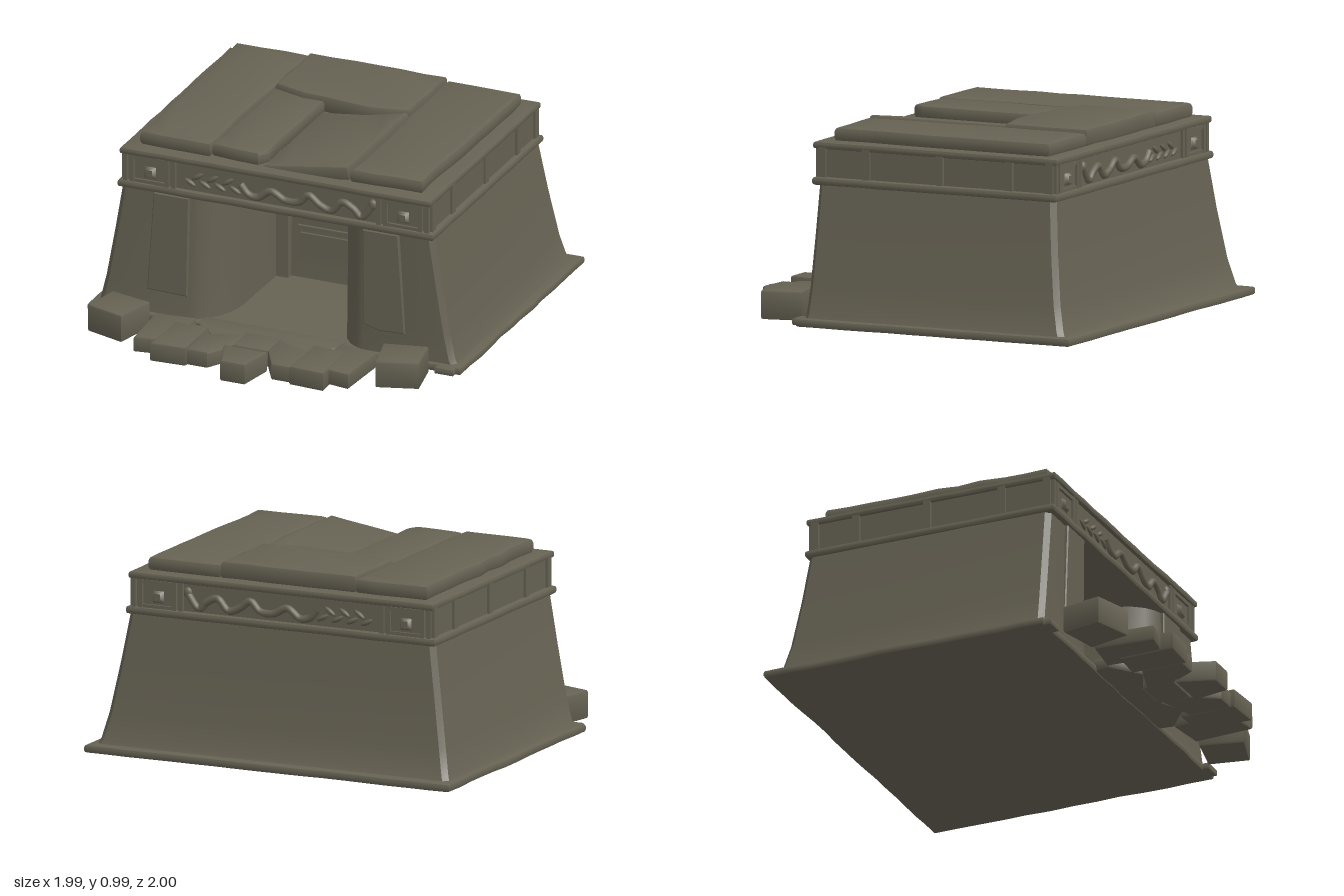
import * as THREE from 'three';
import { toCreasedNormals } from 'three/addons/utils/BufferGeometryUtils.js';

const stone = new THREE.MeshStandardMaterial({ color: 0x666253 });
stone.name = 'weathered stone';

let seed = 7;
const rand = () => (seed = (seed * 16807) % 2147483647) / 2147483647 - 0.5;

function add(parent, name, geo, x = 0, y = 0, z = 0) {
  const m = new THREE.Mesh(geo, stone);
  m.name = name;
  m.position.set(x, y, z);
  parent.add(m);
  return m;
}

// box given by its limits
function box(parent, name, x0, x1, y0, y1, z0, z1) {
  return add(parent, name, new THREE.BoxGeometry(x1 - x0, y1 - y0, z1 - z0),
    (x0 + x1) / 2, (y0 + y1) / 2, (z0 + z1) / 2);
}

// bevelled block from a plan outline of [x, z] points, edges optionally worn
function block(parent, name, pts, y0, y1, bevel = 0.015, wear = 0) {
  const out = [];
  pts.forEach(([x, z], i) => {
    const [nx, nz] = pts[(i + 1) % pts.length];
    const n = wear ? Math.max(1, Math.round(Math.hypot(nx - x, nz - z) / 0.12)) : 1;
    for (let k = 0; k < n; k++) {
      const w = k ? wear : 0;
      out.push(new THREE.Vector2(x + (nx - x) * k / n + rand() * w, -(z + (nz - z) * k / n + rand() * w)));
    }
  });
  const geo = new THREE.ExtrudeGeometry(new THREE.Shape(out), {
    depth: y1 - y0 - 2 * bevel, bevelThickness: bevel, bevelSize: bevel, bevelOffset: -bevel, bevelSegments: 2,
  });
  geo.rotateX(-Math.PI / 2).translate(0, y0 + bevel, 0);
  return add(parent, name, toCreasedNormals(geo, 0.6));
}

const rect = (x0, x1, z0, z1) => [[x0, z1], [x1, z1], [x1, z0], [x0, z0]];
const mirror = pts => pts.map(([x, z]) => [-x, z]).reverse();

// sloping walls with worn corners and a rounded entrance, lofted between plan outlines
function wallGeometry() {
  const levels = [[0.03, 0.965, -0.955, 0.478], [0.07, 0.942, -0.928, 0.474], [0.2, 0.912, -0.896, 0.469],
    [0.45, 0.868, -0.86, 0.464], [0.7, 0.827, -0.832, 0.46]];
  const jamb = [[0.46, 0], [0.42, 0.014], [0.375, 0.045], [0.335, 0.095], [0.305, 0.165], [0.288, 0.26], [0.283, 0.68]];
  const c = 0.025;
  const rings = levels.map(([y, hx, zb, zf]) => {
    const half = [...jamb.map(([x, d]) => [x, zf - d]).reverse(),
      [hx - c, zf], [hx, zf - c], [hx, zb + c], [hx - c, zb]];
    return [...half, ...mirror(half)].map(([x, z]) => [x, y, z]);
  });
  const pos = [], n = rings[0].length;
  for (let r = 0; r < rings.length - 1; r++) {
    for (let i = 0; i < n; i++) {
      const k = (i + 1) % n, a = rings[r][i], b = rings[r][k], t = rings[r + 1][k], d = rings[r + 1][i];
      pos.push(...a, ...b, ...t, ...a, ...t, ...d);
    }
  }
  const g = new THREE.BufferGeometry();
  g.setAttribute('position', new THREE.Float32BufferAttribute(pos, 3));
  return toCreasedNormals(g, 0.6);
}

// carved band: framed squares at the ends and a winding serpent between; dir flips the serpent
function carving(dir) {
  const g = new THREE.Group();
  g.name = 'friezeCarving';
  for (const s of [-1, 1]) {
    for (const x of [0.545, 0.58, 0.765, 0.8]) box(g, 'friezeUpright', s * x - 0.011, s * x + 0.011, 0.72, 0.88, -0.01, 0.012);
    for (const y of [0.735, 0.857]) box(g, 'squareRail', s * 0.672 - 0.09, s * 0.672 + 0.09, y - 0.01, y + 0.01, -0.01, 0.01);
    const boss = add(g, 'squareBoss', new THREE.CylinderGeometry(0.026, 0.045, 0.022, 4), s * 0.672, 0.785, 0.006);
    boss.rotation.set(Math.PI / 2, Math.PI / 4, 0);
  }
  const path = [[-0.19, 0.81], [-0.15, 0.765], [-0.1, 0.755], [-0.03, 0.8], [0.05, 0.765], [0.12, 0.77], [0.17, 0.815],
    [0.23, 0.775], [0.29, 0.755], [0.35, 0.81], [0.41, 0.785], [0.45, 0.75], [0.51, 0.82]];
  const curve = new THREE.CatmullRomCurve3(path.map(([x, y]) => new THREE.Vector3(dir * x, y, 0)));
  add(g, 'serpentBody', new THREE.TubeGeometry(curve, 60, 0.019, 8));
  add(g, 'serpentHead', new THREE.SphereGeometry(0.028, 10, 8), dir * 0.51, 0.825, 0).scale.set(0.8, 1, 0.7);
  for (let i = 0; i < 7; i++) {
    const leaf = add(g, 'carvedLeaf', new THREE.SphereGeometry(0.036, 8, 6), dir * (-0.46 + i * 0.04), 0.79 + (i % 2 ? 0.018 : -0.018), 0);
    leaf.scale.set(1, 0.34, 0.35);
    leaf.rotation.z = dir * (i % 2 ? 0.6 : -0.5);
  }
  return g;
}

export function createModel() {
  seed = 7;
  const model = new THREE.Group();
  model.name = 'stoneTomb';

  // base and walls
  block(model, 'baseSlab', [[-0.99, 0.5], [0.99, 0.5], [0.99, -0.995], [-0.99, -0.995]], 0.012, 0.052, 0.012, 0.012);
  for (const s of [-1, 1]) {
    block(model, 'baseCornerChip', rect(s * 0.915 - 0.05, s * 0.915 + 0.05, 0.44, 0.53), 0.015, 0.05, 0.008);
  }
  add(model, 'walls', wallGeometry());

  // raised panels beside the entrance
  for (const s of [-1, 1]) {
    const pts = s > 0
      ? [[0.46, 0.19], [0.55, 0.165], [0.685, 0.17], [0.65, 0.69], [0.46, 0.69]]
      : [[-0.685, 0.17], [-0.47, 0.165], [-0.46, 0.69], [-0.65, 0.69]];
    const shape = new THREE.Shape(pts.map(p => new THREE.Vector2(...p)));
    add(model, 'entrancePanel', new THREE.ExtrudeGeometry(shape,
      { depth: 0.025, bevelThickness: 0.006, bevelSize: 0.006, bevelOffset: -0.006, bevelSegments: 1 }), 0, 0, 0.448);
  }

  // inner doorway at the back of the entrance
  for (const s of [-1, 1]) box(model, 'innerPost', s * 0.255 - 0.035, s * 0.255 + 0.035, 0.05, 0.7, -0.23, -0.17);
  box(model, 'innerLintel', -0.22, 0.22, 0.59, 0.7, -0.23, -0.185);
  box(model, 'upperDoorPanel', -0.17, 0.17, 0.335, 0.575, -0.23, -0.2);
  box(model, 'doorRail', -0.175, 0.165, 0.318, 0.335, -0.23, -0.185);
  box(model, 'lowerDoorPanel', -0.17, 0.17, 0.17, 0.29, -0.23, -0.2);

  // frieze core, mouldings and carved bands
  box(model, 'friezeCore', -0.812, 0.812, 0.692, 0.89, -0.822, 0.465);
  block(model, 'lowerMoulding', rect(-0.838, 0.838, -0.845, 0.487), 0.69, 0.73, 0.014, 0.006);
  block(model, 'upperMoulding', rect(-0.825, 0.825, -0.842, 0.487), 0.868, 0.902, 0.01, 0.006);
  const front = carving(1);
  front.position.z = 0.467;
  const back = carving(-1);
  back.rotation.y = Math.PI;
  back.position.z = -0.824;
  model.add(front, back);
  for (const s of [-1, 1]) {
    for (const z of [0.44, 0.2, -0.2, -0.58, -0.8]) {
      box(model, 'sideUpright', s * 0.813 - 0.012, s * 0.813 + 0.012, 0.72, 0.88, z - 0.02, z + 0.02);
    }
  }

  // worn roof slabs
  block(model, 'roofSlabRight', [[-0.75, 0.41], [-0.375, 0.42], [-0.372, -0.77], [-0.76, -0.77]], 0.895, 0.972, 0.022, 0.018);
  block(model, 'roofSlabLeft', [[0.37, 0.42], [0.75, 0.41], [0.755, -0.765], [0.365, -0.77]], 0.895, 0.968, 0.022, 0.018);
  block(model, 'roofSlabBack', [[-0.37, -0.36], [-0.2, -0.31], [0.17, -0.28], [0.36, -0.32], [0.36, -0.77], [-0.37, -0.77]],
    0.895, 0.986, 0.02, 0.014);
  block(model, 'roofSlabMiddle', [[-0.37, 0.4], [-0.12, 0.42], [-0.085, 0.36], [-0.085, -0.3], [-0.2, -0.3], [-0.37, -0.35]],
    0.895, 0.968, 0.02, 0.014);
  const tilted = block(model, 'tiltedRoofSlab', [[0, 0.42], [0.452, 0.42], [0.452, -0.31], [0.26, -0.27], [0, -0.29]],
    -0.07, 0, 0.012, 0.01);
  tilted.position.set(-0.095, 0.908, 0);
  tilted.rotation.z = 0.15;

  // broken paving before the entrance
  block(model, 'landing', [[-0.37, 0.48], [0.37, 0.48], [0.38, 0.57], [0.23, 0.69], [0.08, 0.62], [-0.08, 0.62],
    [-0.23, 0.69], [-0.38, 0.57]], 0.02, 0.085, 0.015);
  const paving = [
    ['outerPaver', [[-0.59, 0.59], [-0.385, 0.565], [-0.37, 0.87], [-0.57, 0.9]], 0.025, 0.108],
    ['innerPaver', [[-0.45, 0.66], [-0.28, 0.65], [-0.275, 0.94], [-0.46, 0.95]], 0.015, 0.115],
    ['stepPaver', [[-0.28, 0.7], [-0.09, 0.64], [-0.09, 0.78], [-0.17, 0.92], [-0.28, 0.92]], 0.015, 0.102],
    ['looseBlock', [[-0.84, 0.54], [-0.62, 0.59], [-0.675, 0.81], [-0.88, 0.745]], 0.018, 0.162],
  ];
  for (const [name, pts, y0, y1] of paving) {
    block(model, name, pts, y0, y1, 0.012);
    block(model, name, mirror(pts), y0, y1, 0.012);
  }
  block(model, 'centrePaver', rect(-0.095, 0.095, 0.62, 0.79), 0.015, 0.105, 0.012);
  block(model, 'frontPaver', [[-0.13, 0.81], [0.1, 0.81], [0.065, 1], [-0.065, 1]], 0, 0.11, 0.012);
  return model;
}
